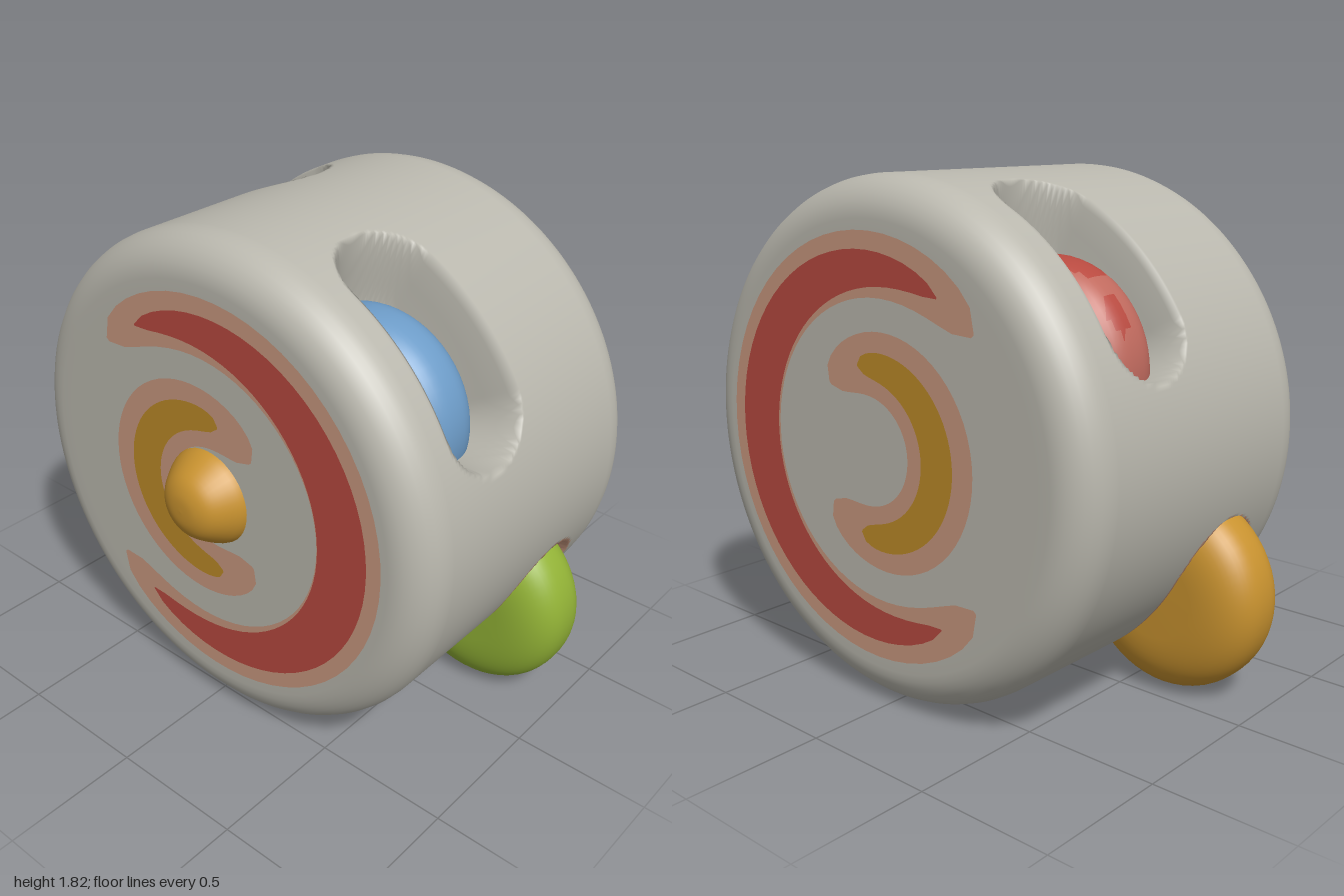
import * as THREE from 'three';

const mat = (name, color, side = THREE.FrontSide) => {
  const m = new THREE.MeshStandardMaterial({ color, side });
  m.name = name;
  return m;
};

const CY = 0.91, CZ = 0.03, R = 0.91;      // drum axis and radius
const X0 = -0.565, X1 = 0.69, ROUND = 0.14; // drum ends and edge rounding

// One slot per wheel: angle around the drum from +z towards +y, and x centre
const slots = [
  { name: 'blueWheel', angle: 45, x: -0.145, z: 0.39, y: 1.21 },
  { name: 'redWheel', angle: 133, x: 0.26, z: -0.38, y: 1.2 },
  { name: 'greenWheel', angle: -45, x: 0.27, z: 0.64, y: 0.362, out: true },
  { name: 'orangeWheel', angle: -135, x: -0.15, z: -0.64, y: 0.368, out: true },
];

// Offset along the drum surface from a slot centre, and signed distance to its rim
function slotOffset(s, t) {
  const a = t - THREE.MathUtils.degToRad(s.angle);
  return Math.atan2(Math.sin(a), Math.cos(a)) * R;
}
const slotDistance = (s, t, x) =>
  Math.hypot(Math.max(Math.abs(slotOffset(s, t)) - 0.257, 0), x - s.x) - 0.18;

// Regroup triangles by a colour rule on their centroid
function paint(geo, rule, count) {
  const p = geo.attributes.position, idx = geo.index.array;
  const lists = Array.from({ length: count }, () => []);
  for (let i = 0; i < idx.length; i += 3) {
    const [a, b, c] = [idx[i], idx[i + 1], idx[i + 2]];
    const mid = (get) => (p[get](a) + p[get](b) + p[get](c)) / 3;
    lists[rule(mid('getX'), mid('getY'), mid('getZ'))].push(a, b, c);
  }
  geo.setIndex(lists.flat());
  let start = 0;
  lists.forEach((l, k) => { geo.addGroup(start, l.length, k); start += l.length; });
  return geo;
}

// Drum: a rounded profile swept about the x axis, pressed in at the slots
function drumGeometry() {
  const profile = [[X0, 0], [X0, 0.4], [X0, 0.72]];
  const corner = 8, flat = 88, N = 360;
  for (let k = 0; k <= corner; k++) {
    const a = (k / corner) * Math.PI / 2;
    profile.push([X0 + ROUND * (1 - Math.cos(a)), R - ROUND * (1 - Math.sin(a))]);
  }
  const xa = X0 + ROUND, xb = X1 - ROUND;
  for (let k = 1; k < flat; k++) profile.push([xa + (xb - xa) * k / flat, R]);
  for (let k = corner; k >= 0; k--) {
    const a = (k / corner) * Math.PI / 2;
    profile.push([X1 - ROUND * (1 - Math.cos(a)), R - ROUND * (1 - Math.sin(a))]);
  }
  profile.push([X1, 0.72], [X1, 0.4], [X1, 0]);

  const pos = [], index = [];
  profile.forEach(([x, r], i) => {
    for (let j = 0; j < N; j++) {
      const t = (j / N) * Math.PI * 2;
      let rr = r;
      if (r > R - 0.01) {
        for (const s of slots) rr -= 0.28 * THREE.MathUtils.smoothstep(-slotDistance(s, t, x), -0.015, 0.03);
      }
      pos.push(x, CY + rr * Math.sin(t), CZ + rr * Math.cos(t));
      if (i < profile.length - 1) {
        const j2 = (j + 1) % N, a = i * N + j, b = a + N, c = (i + 1) * N + j2, d = i * N + j2;
        index.push(a, b, c, a, c, d);
      }
    }
  });
  const geo = new THREE.BufferGeometry();
  geo.setAttribute('position', new THREE.Float32BufferAttribute(pos, 3));
  geo.setIndex(index);
  geo.computeVertexNormals();
  // blush around the upper rims of the two lower slots
  return paint(geo, (x, y, z) => {
    const t = Math.atan2(y - CY, z - CZ);
    const near = slots.some((s) => {
      const d = slotDistance(s, t, x);
      return s.out && d < 0.03 && d > -0.06 && y > 0.17;
    });
    return near ? 1 : 0;
  }, 2);
}

// Wheel: thick disc with a softly rounded rim, axis along x
function wheelGeometry() {
  const pts = [];
  for (let k = 0; k <= 28; k++) {
    const a = -Math.PI / 2 + (k / 28) * Math.PI;
    const c = Math.max(Math.cos(a), 0), s = Math.sin(a);
    pts.push(new THREE.Vector2(0.2 * Math.pow(c, 0.2) * (k % 28 ? 1 : 0) + 0.162 * Math.pow(c, 0.9),
      0.16 * Math.sign(s) * Math.pow(Math.abs(s), 0.8)));
  }
  return new THREE.LatheGeometry(pts, 56).rotateZ(Math.PI / 2);
}

// Flat arc in (z, y) with tapered, rounded ends
function arcGeometry({ z, r, rEnd, w, wEnd, middle, half }) {
  const outer = [], inner = [], n = 48;
  for (let k = 0; k <= n; k++) {
    const t = (k / n) * 2 - 1, a = THREE.MathUtils.degToRad(middle + t * half);
    const m = r + (rEnd - r) * t * t;
    const h = (w + (wEnd - w) * t * t) * Math.sqrt(Math.max(1 - Math.pow(t, 16), 0.01));
    const at = (q) => new THREE.Vector2(z + q * Math.cos(a), CY + q * Math.sin(a));
    outer.push(at(m + h));
    inner.unshift(at(m - h));
  }
  return new THREE.ShapeGeometry(new THREE.Shape([...outer, ...inner])).rotateY(-Math.PI / 2);
}

export function createModel() {
  const model = new THREE.Group();
  model.name = 'drumToy';
  const grey = mat('warm grey', 0xbab8ae);
  const blush = mat('blush', 0xc9987f, THREE.DoubleSide);
  const red = mat('red', 0xb84a40, THREE.DoubleSide);
  const ochre = mat('ochre', 0xbd8b28, THREE.DoubleSide);
  const orange = mat('orange', 0xc8922f);
  const green = mat('green', 0x92b236);
  const blue = mat('blue', 0x6d9cc8);
  const coral = mat('coral', 0xc06a5e);

  const add = (name, geo, material, x = 0, y = 0, z = 0) => {
    const m = new THREE.Mesh(geo, material);
    m.name = name;
    m.position.set(x, y, z);
    model.add(m);
    return m;
  };

  add('drum', drumGeometry(), [grey, blush]);

  // Wheels in the slots; the red one has two darker spots
  const colours = { blueWheel: blue, greenWheel: green, orangeWheel: orange };
  for (const s of slots) {
    const geo = wheelGeometry();
    if (s.name === 'redWheel') {
      paint(geo, (x, y, z) =>
        y > 0 && (Math.hypot(x + 0.01, (z + 0.1) * 0.75) < 0.075 || Math.hypot(x - 0.035, z + 0.29) < 0.04) ? 1 : 0, 2);
      add(s.name, geo, [coral, red], s.x, s.y, s.z);
    } else add(s.name, geo, colours[s.name], s.x, s.y, s.z);
  }

  // Painted arcs on both end faces, the same in z
  const arcs = [
    ['outerArcEdge', blush, 0.002, { z: 0.04, r: 0.605, rEnd: 0.65, w: 0.13, wEnd: 0.08, middle: 0, half: 137 }],
    ['outerArc', red, 0.005, { z: 0.04, r: 0.58, rEnd: 0.635, w: 0.1, wEnd: 0.03, middle: 0, half: 121 }],
    ['innerArcEdge', blush, 0.002, { z: 0, r: 0.285, rEnd: 0.31, w: 0.145, wEnd: 0.07, middle: 180, half: 138 }],
    ['innerArc', ochre, 0.005, { z: 0, r: 0.275, rEnd: 0.3, w: 0.07, wEnd: 0.04, middle: 180, half: 107 }],
  ];
  for (const [name, material, lift, spec] of arcs) {
    const geo = arcGeometry(spec);
    add(name + 'Left', geo, material, X1 + lift);
    add(name + 'Right', geo, material, X0 - lift);
  }

  // Domed button on the right end
  const dome = new THREE.SplineCurve([[0.18, -0.01], [0.165, 0.03], [0.115, 0.1], [0.06, 0.13], [0, 0.136]]
    .map(([r, h]) => new THREE.Vector2(r, h)));
  add('endButton', new THREE.LatheGeometry(dome.getPoints(20), 40).rotateZ(Math.PI / 2), orange, X0, CY, CZ);

  return model;
}
